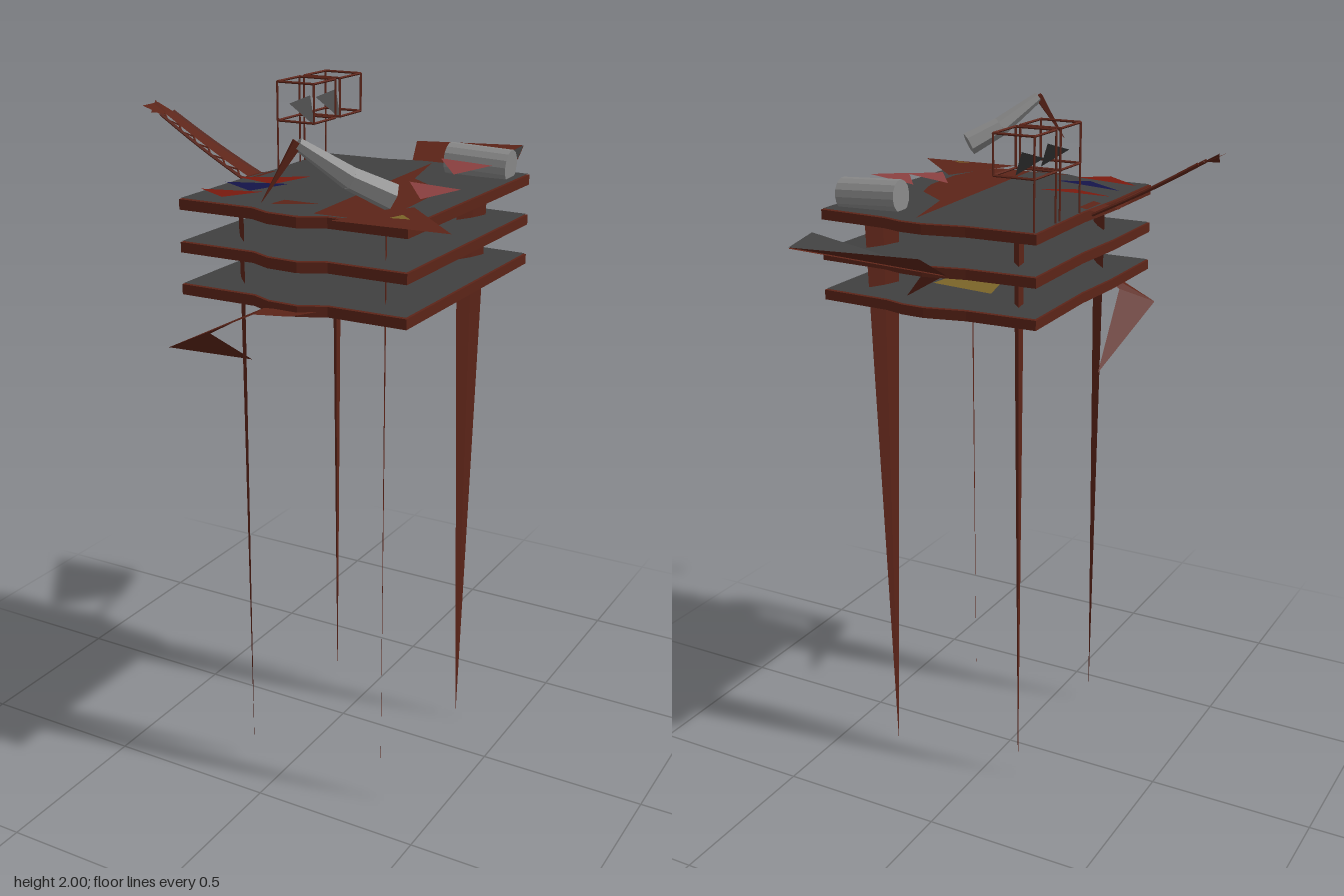
import * as THREE from 'three';

const mat = (color) => new THREE.MeshStandardMaterial({ color, flatShading: true, side: THREE.DoubleSide });
const rust = mat(0x5c2418), dark = mat(0x404040), steel = mat(0x888888);
const red = mat(0x7a1a0e), blue = mat(0x15154a), pink = mat(0x8a4040), olive = mat(0x7a6428);

// Convex flat or folded sheet, built as a fan around its first corner
function sheet(name, material, ...pts) {
  const tris = [];
  for (let i = 1; i < pts.length - 1; i++) tris.push(...pts[0], ...pts[i], ...pts[i + 1]);
  const g = new THREE.BufferGeometry();
  g.setAttribute('position', new THREE.Float32BufferAttribute(tris, 3));
  g.computeVertexNormals();
  const m = new THREE.Mesh(g, material);
  m.name = name;
  return m;
}

// Round or square rod between two points, ra at the start and rb at the end
function rod(name, material, a, b, ra, rb = ra, sides = 4) {
  const p = new THREE.Vector3(...a), q = new THREE.Vector3(...b);
  const d = q.clone().sub(p);
  const m = new THREE.Mesh(new THREE.CylinderGeometry(rb, ra, d.length(), sides), material);
  m.position.copy(p).add(q).multiplyScalar(0.5);
  m.quaternion.setFromUnitVectors(new THREE.Vector3(0, 1, 0), d.normalize());
  m.name = name;
  return m;
}

// Deck outline seen from above (x, z)
const outline = [[-0.228, -0.285], [-0.02, -0.292], [0.1, -0.318], [0.17, -0.315], [0.23, -0.297], [0.445, -0.285],
  [0.445, 0.47], [0.22, 0.47], [0.15, 0.505], [0.06, 0.5], [0, 0.472], [-0.228, 0.472], [-0.23, 0.2], [-0.22, 0.02]];

function deck(y, thickness) {
  const g = new THREE.Group();
  g.name = 'deck';
  const shape = (s) => new THREE.Shape(outline.map(([x, z]) =>
    new THREE.Vector2(0.108 + (x - 0.108) * s, -(0.09 + (z - 0.09) * s))));
  const slab = new THREE.Mesh(new THREE.ExtrudeGeometry(shape(1), { depth: thickness, bevelEnabled: false }), rust);
  slab.name = 'deckSlab';
  const floor = new THREE.Mesh(new THREE.ShapeGeometry(shape(0.99)), dark);
  floor.name = 'deckFloor';
  floor.position.z = thickness + 0.003;
  g.add(slab, floor);
  g.rotation.x = -Math.PI / 2;
  g.position.y = y;
  return g;
}

// Thin tapering stilt; dx, dz give the line its wide top runs along, t its half thickness
function stilt(x, z, dx, dz, t, tipY) {
  const g = new THREE.Group();
  g.name = 'stilt';
  const n = new THREE.Vector2(dz, -dx).setLength(t);
  const top = 1.725, a = [x - dx / 2, top, z - dz / 2], b = [x + dx / 2, top, z + dz / 2];
  const tip = [x, tipY, z];
  const front = [x + n.x, top, z + n.y], back = [x - n.x, top, z - n.y];
  for (const [p, q] of [[a, front], [front, b], [b, back], [back, a]]) g.add(sheet('stiltFace', rust, p, q, tip));
  return g;
}

// Open wire cage with a dark pennant inside, on two thin posts
function cage(z0, z1) {
  const g = new THREE.Group();
  g.name = 'cage';
  const X = [-0.216, -0.096], Y = [1.888, 1.997], Z = [z0, z1], r = 0.0035;
  for (const i of [0, 1]) for (const j of [0, 1]) {
    g.add(rod('cageBar', rust, [X[0], Y[i], Z[j]], [X[1], Y[i], Z[j]], r));
    g.add(rod('cageBar', rust, [X[i], Y[0], Z[j]], [X[i], Y[1], Z[j]], r));
    g.add(rod('cageBar', rust, [X[i], Y[j], Z[0]], [X[i], Y[j], Z[1]], r));
  }
  for (const z of Z) g.add(rod('cagePost', rust, [X[0], 1.75, z], [X[0], Y[0], z], 0.003));
  const c = (z0 + z1) / 2;
  g.add(sheet('pennant', dark, [-0.205, 1.93, c + 0.015], [-0.115, 1.875, c + 0.025], [-0.165, 1.95, c - 0.035]));
  return g;
}

// Sloping lattice gangway with a solid tread and braced edges, sagging slightly
function gangway() {
  const g = new THREE.Group();
  g.name = 'gangway';
  const at = (t, s) => [-0.23 - 0.3 * t, 1.737 + 0.163 * t - 0.005 * Math.sin(Math.PI * t), 0.097 + s * (0.046 - 0.014 * t)];
  const n = 12;
  for (let i = 0; i < n; i++) {
    const t = i / n, u = (i + 1) / n, s = i % 2 ? 1 : 0.35;
    g.add(sheet('gangwayTread', rust, at(t, -1), at(u, -1), at(u, 0.35), at(t, 0.35)));
    for (const e of [-1, 1]) g.add(rod('gangwayRail', rust, at(t, e), at(u, e), 0.005));
    g.add(rod('gangwayBrace', rust, at(t, s), at(u, 1.35 - s), 0.003));
  }
  g.add(sheet('gangwayEnd', rust, [-0.525, 1.897, 0.067], [-0.582, 1.922, 0.067], [-0.582, 1.922, 0.143], [-0.525, 1.897, 0.128]));
  g.add(sheet('gangwayEnd', rust, [-0.53, 1.9, 0.1], [-0.582, 1.93, 0.08], [-0.57, 1.9, 0.12]));
  g.add(sheet('gangwayFoot', rust, [-0.25, 1.745, 0.05], [-0.19, 1.755, 0.05], [-0.19, 1.755, 0.145], [-0.25, 1.745, 0.145]));
  g.add(sheet('gangwaySkirt', rust, [-0.262, 1.735, 0.16], [-0.23, 1.745, 0.47], [-0.215, 1.745, 0.16]));
  return g;
}

export function createModel() {
  const model = new THREE.Group();
  model.name = 'stiltPlatform';

  // Three stacked decks
  for (const y of [1.49, 1.605, 1.72]) model.add(deck(y, 0.028));

  // Four stilts
  model.add(stilt(0.323, -0.165, -0.045, 0.11, 0.006, 0), stilt(0.323, 0.35, 0.045, 0.09, 0.002, 0),
    stilt(-0.115, 0.35, 0.085, 0.105, 0.004, 0.02), stilt(-0.115, -0.165, 0.045, 0.09, 0.014, 0));

  // Wire cages and gangway
  model.add(cage(-0.003, -0.125), cage(-0.15, -0.275), gangway());

  // Thin rust cover lying on the top deck, with a pointed corner overhanging
  const y = 1.754;
  const cover = new THREE.Mesh(new THREE.ShapeGeometry(new THREE.Shape([[0.14, -0.28], [0.2, -0.05], [0.31, 0.04],
    [0.345, 0.14], [0.355, 0.3], [0.33, 0.4], [0.29, 0.47], [0.18, 0.47]].map(([x, z]) => new THREE.Vector2(x, -z)))), rust);
  cover.name = 'deckCover';
  cover.rotation.x = -Math.PI / 2;
  cover.position.y = y;
  model.add(cover);
  model.add(sheet('coverCorner', rust, [0.37, y + 0.002, 0.29], [0.58, y + 0.002, 0.51], [0.26, y + 0.002, 0.525]));
  model.add(sheet('coverScrap', rust, [0.04, 1.76, 0.45], [0.06, 1.765, 0.41], [0.17, 1.765, 0.41]));

  // Coloured pennants lying on the top deck
  model.add(sheet('redFlag', red, [-0.22, 1.76, 0.2], [-0.02, 1.772, 0.15], [-0.08, 1.762, 0.245]));
  model.add(sheet('blueFlag', blue, [-0.21, 1.762, 0.28], [-0.01, 1.775, 0.275], [-0.08, 1.765, 0.36]));
  model.add(sheet('redFlag', red, [-0.22, 1.76, 0.38], [-0.03, 1.77, 0.375], [-0.1, 1.765, 0.46]));
  model.add(sheet('pinkFlag', pink, [0.25, 1.805, -0.11], [0.43, 1.81, -0.055], [0.37, 1.8, 0.06]));
  model.add(sheet('pinkFlag', pink, [0.255, 1.775, 0.09], [0.43, 1.78, 0.14], [0.37, 1.77, 0.255]));
  model.add(sheet('oliveFlag', olive, [0.39, 1.765, 0.465], [0.41, 1.768, 0.43], [0.445, 1.766, 0.458]));

  // Olive flag and small rust brace between the lower decks
  model.add(sheet('oliveFlag', olive, [0, 1.603, 0.15], [0.1, 1.575, -0.26], [-0.08, 1.567, -0.26]));
  model.add(sheet('brace', rust, [0.05, 1.61, -0.22], [0.2, 1.52, -0.24], [0.125, 1.61, -0.255]));

  // Tank lying on the top deck
  model.add(rod('tank', steel, [0.235, 1.79, -0.2], [0.42, 1.782, -0.208], 0.046, 0.046, 14));

  // Bent horn at the front corner
  model.add(rod('hornArm', steel, [0.405, 1.82, 0.48], [0.33, 1.87, 0.55], 0.036, 0.03, 6));
  model.add(rod('hornArm', steel, [0.33, 1.87, 0.55], [0.24, 1.958, 0.64], 0.03, 0.016, 6));
  model.add(rod('hornTip', rust, [0.24, 1.962, 0.64], [0.175, 1.825, 0.7], 0.016, 0.001, 4));

  // Sloping folded sail at the back, grey on one upper side only, with a small spike
  const root = [0.03, 1.615, -0.31], peak = [0.25, 1.75, -0.705], side = [0.31, 1.745, -0.52];
  const under = ([x, h, z]) => [x, h - 0.003, z];
  model.add(sheet('sailLeft', rust, root, peak, [-0.09, 1.745, -0.64]));
  model.add(sheet('sailRight', dark, root, side, peak));
  model.add(sheet('sailUnderside', rust, under(root), under(side), under(peak)));
  model.add(sheet('sailSpike', rust, side, [0.245, 1.68, -0.43], [0.245, 1.62, -0.29]));

  // Hanging hook under the front edge
  const outer = [-0.22, 1.365, 0.555], inner = [-0.12, 1.405, 0.505];
  model.add(sheet('hookArm', rust, [0.2, 1.505, 0.48], [0.15, 1.5, 0.54], [0.05, 1.495, 0.555], [0.05, 1.5, 0.505]));
  model.add(sheet('hookArm', rust, [0.05, 1.5, 0.505], [0.05, 1.495, 0.555], outer, inner));
  model.add(sheet('hookTip', rust, outer, inner, [-0.195, 1.23, 0.19]));

  return model;
}
